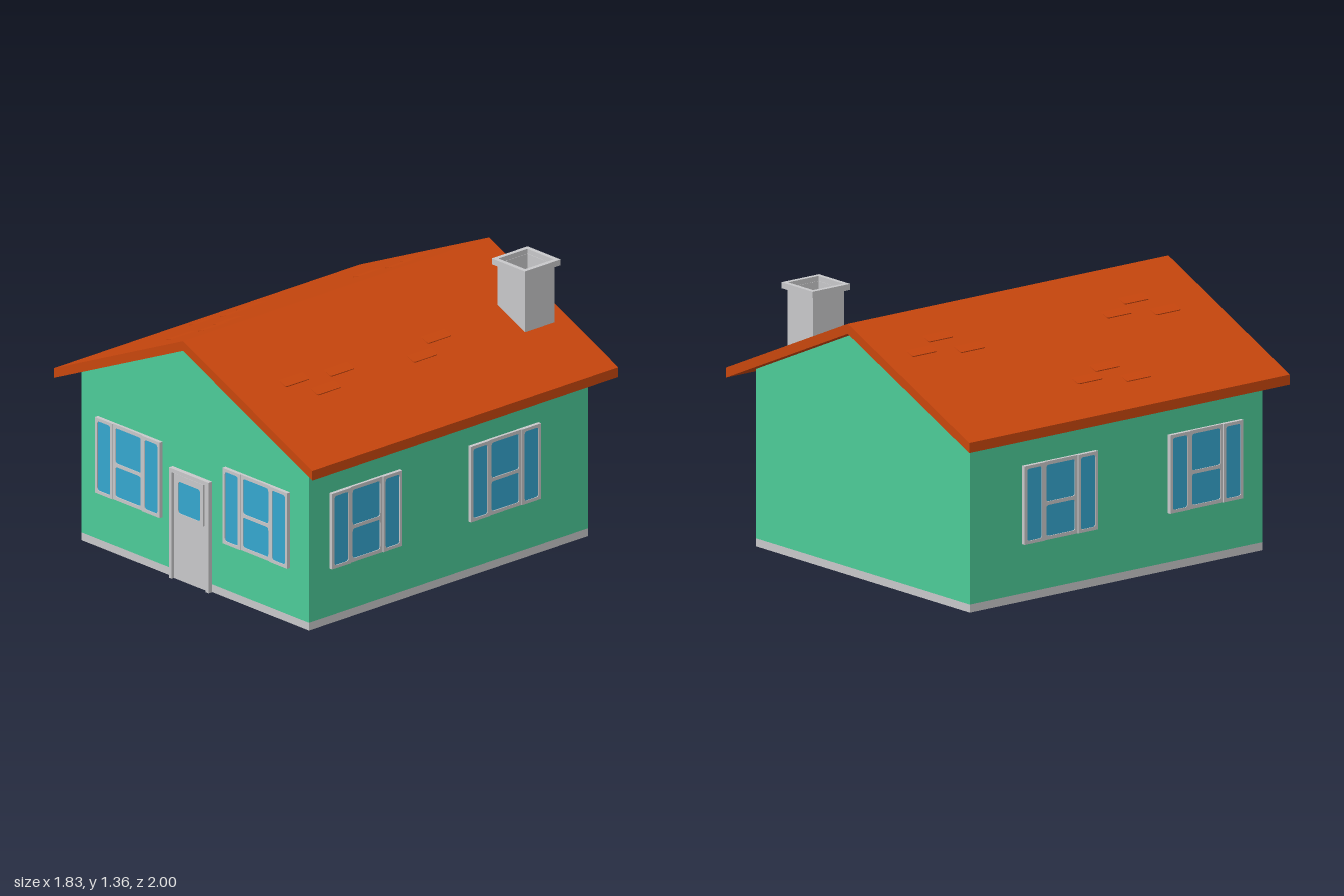
import * as THREE from 'three';

const mat = (name, color) => {
  const m = new THREE.MeshStandardMaterial({ color });
  m.name = name;
  return m;
};

// Rectangle outline given by its limits, with optional rounded corners
function rect(x0, x1, y0, y1, r = 0, Type = THREE.Shape) {
  const s = new Type();
  if (!r) {
    s.moveTo(x0, y0); s.lineTo(x1, y0); s.lineTo(x1, y1); s.lineTo(x0, y1);
    s.closePath();
    return s;
  }
  s.moveTo(x0 + r, y0);
  s.lineTo(x1 - r, y0); s.quadraticCurveTo(x1, y0, x1, y0 + r);
  s.lineTo(x1, y1 - r); s.quadraticCurveTo(x1, y1, x1 - r, y1);
  s.lineTo(x0 + r, y1); s.quadraticCurveTo(x0, y1, x0, y1 - r);
  s.lineTo(x0, y0 + r); s.quadraticCurveTo(x0, y0, x0 + r, y0);
  return s;
}

const polygon = (pts) => new THREE.Shape(pts.map(([x, y]) => new THREE.Vector2(x, y)));

const extrude = (shape, depth) =>
  new THREE.ExtrudeGeometry(shape, { depth, bevelEnabled: false, curveSegments: 4 });

function add(parent, name, geometry, material) {
  const m = new THREE.Mesh(geometry, material);
  m.name = name;
  parent.add(m);
  return m;
}

export function createModel() {
  const green = mat('wall green', 0x4ccb98);
  const grey = mat('trim grey', 0xc8c8ca);
  const blue = mat('glass blue', 0x35a6cf);
  const orange = mat('roof orange', 0xc8460d);

  const house = new THREE.Group();
  house.name = 'house';

  // Walls: gabled block above a flush plinth
  const walls = add(house, 'walls', extrude(polygon([
    [-0.81, 0.04], [0.8, 0.04], [0.8, 0.885], [0, 1.24], [-0.81, 0.88],
  ]), 1.825), green);
  walls.position.z = -0.91;
  const plinth = add(house, 'plinth', new THREE.BoxGeometry(1.61, 0.04, 1.825),
    [grey, grey, grey, green, grey, grey]);
  plinth.position.set(-0.005, 0.02, 0.0025);

  // Roof: chevron section running front to back
  const eaveX = 0.915, ridgeY = 1.285, drop = 0.405;
  const roof = add(house, 'roof', extrude(polygon([
    [-eaveX, 0.83], [0, 1.235], [eaveX, 0.83],
    [eaveX, 0.88], [0, ridgeY], [-eaveX, 0.88],
  ]), 2), orange);
  roof.position.z = -1;

  // Loose tiles, lower edge slightly lifted: [x of lower edge, z of centre]
  const slope = Math.atan2(drop, eaveX);
  const tileGeo = extrude(rect(-0.045, 0.045, -0.078, 0.078, 0.012), 0.012);
  tileGeo.rotateX(-Math.PI / 2);
  const tiles = [
    [0.45, -0.26], [0.525, -0.1], [0.45, 0.375], [0.525, 0.53], [0.425, 0.645],
    [-0.295, -0.765], [-0.225, -0.605], [-0.335, -0.497],
    [-0.69, -0.06], [-0.635, 0.095], [-0.74, 0.203],
    [-0.315, 0.435], [-0.25, 0.595], [-0.36, 0.7],
  ];
  for (const [edge, z] of tiles) {
    const side = Math.sign(edge);
    const x = Math.abs(edge) - 0.042;
    const tile = add(house, 'roofTile', tileGeo, orange);
    tile.position.set(side * x, ridgeY - x * drop / eaveX - 0.012, z);
    tile.rotation.z = -side * (slope - 0.09);
  }

  // Chimney: hollow shaft with a wider rim
  const chimney = new THREE.Group();
  chimney.name = 'chimney';
  chimney.position.set(0.467, 0, -0.812);
  house.add(chimney);
  const ring = (name, outer, inner, y, height) => {
    const s = rect(-outer, outer, -outer, outer);
    s.holes.push(rect(-inner, inner, -inner, inner, 0, THREE.Path));
    add(chimney, name, extrude(s, height).rotateX(-Math.PI / 2), grey).position.y = y;
  };
  ring('chimneyShaft', 0.097, 0.092, 1.01, 0.325);
  ring('chimneyRim', 0.117, 0.094, 1.33, 0.03);

  // Frame with rounded openings and glass set into it
  function glazed(parent, name, outer, panes, depth) {
    const s = rect(...outer);
    for (const p of panes) {
      s.holes.push(rect(...p, 0.015, THREE.Path));
      add(parent, name + 'Glass', extrude(rect(...p, 0.015), 0.006), blue)
        .position.z = depth - 0.01;
    }
    add(parent, name + 'Frame', extrude(s, depth), grey);
  }

  // Window: central sashes between two glazed shutters
  function addWindow(x, z, turn) {
    const w = new THREE.Group();
    w.name = 'window';
    w.position.set(x, 0.285, z);
    w.rotation.y = turn;
    glazed(w, 'sash', [-0.105, 0.105, 0, 0.39],
      [[-0.09, 0.09, 0.018, 0.172], [-0.09, 0.09, 0.19, 0.372]], 0.015);
    for (const s of [-1, 1]) {
      const c = s * 0.167;
      glazed(w, 'shutter', [c - 0.062, c + 0.062, 0, 0.39],
        [[c - 0.046, c + 0.046, 0.016, 0.374]], 0.02);
    }
    house.add(w);
  }
  addWindow(-0.465, 0.915, 0);
  addWindow(0.438, 0.915, 0);
  for (const z of [0.553, -0.355]) {
    addWindow(0.8, z, Math.PI / 2);
    addWindow(-0.81, z, -Math.PI / 2);
  }

  // Front door: surround, leaf and raised glazed panel
  const door = new THREE.Group();
  door.name = 'door';
  door.position.z = 0.915;
  house.add(door);
  add(door, 'doorSurround', extrude(polygon([
    [-0.165, 0], [-0.145, 0], [-0.145, 0.55], [0.095, 0.55],
    [0.095, 0], [0.115, 0], [0.115, 0.57], [-0.165, 0.57],
  ]), 0.025), grey);
  add(door, 'doorLeaf', extrude(rect(-0.145, 0.095, 0, 0.55), 0.01), grey);
  glazed(door, 'doorPanel', [-0.13, 0.07, 0.33, 0.545], [[-0.107, 0.047, 0.348, 0.512]], 0.018);

  return house;
}
